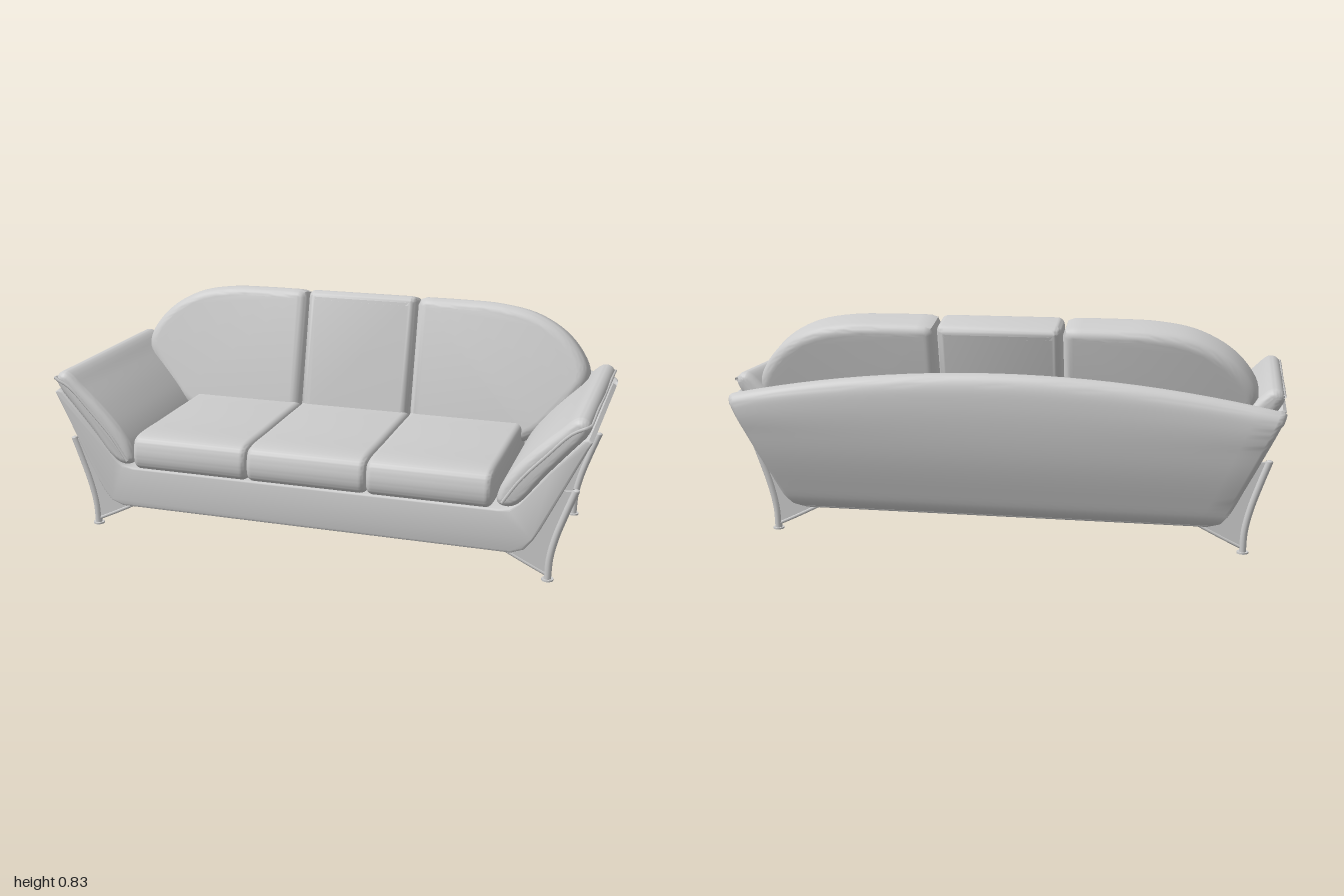
import * as THREE from 'three';
import { toCreasedNormals, mergeVertices } from 'three/addons/utils/BufferGeometryUtils.js';

const material = new THREE.MeshStandardMaterial({ color: 0xcccccc });
const doubleSided = new THREE.MeshStandardMaterial({ color: 0xcccccc, side: THREE.DoubleSide });

function addMesh(parent, name, geometry, mat = material) {
  const mesh = new THREE.Mesh(geometry, mat);
  mesh.name = name;
  parent.add(mesh);
  return mesh;
}

// Smooth curve through 2D points
function curve(points, closed = false, z = 0) {
  return new THREE.CatmullRomCurve3(points.map(([x, y]) => new THREE.Vector3(x, y, z)), closed, 'centripetal');
}

function smoothPoints(points, n, closed) {
  const p = curve(points, closed).getPoints(n);
  if (closed) p.pop();
  return p.map(v => new THREE.Vector2(v.x, v.y));
}

// Extrusion from z0 to z1 whose rounded edges stay inside the outline
function slab(points, z0, z1, bevel, segments = 6) {
  const g = new THREE.ExtrudeGeometry(new THREE.Shape(points), {
    depth: z1 - z0 - 2 * bevel, bevelEnabled: true, bevelThickness: bevel,
    bevelSize: bevel, bevelOffset: -bevel, bevelSegments: segments, curveSegments: 8,
  });
  g.translate(0, 0, z0 + bevel);
  return toCreasedNormals(g, 0.7);
}

// Half width of the shell at height y
const sideCurve = [[0.74, 0.1], [0.785, 0.117], [0.815, 0.155], [0.84, 0.2], [0.92, 0.365], [0.985, 0.5], [1, 0.54]];
function halfWidth(y) {
  for (let i = 1; i < sideCurve.length; i++) {
    const [x0, y0] = sideCurve[i - 1], [x1, y1] = sideCurve[i];
    if (y <= y1) return x0 + (x1 - x0) * Math.max(0, (y - y0) / (y1 - y0));
  }
  return 1;
}

// Bulging back panel lofted along x, with its top edge arched
function backPanel() {
  const profile = smoothPoints([
    [-0.29, 0.1], [-0.32, 0.101], [-0.345, 0.125], [-0.375, 0.2], [-0.412, 0.32], [-0.432, 0.43], [-0.439, 0.53],
    [-0.433, 0.6], [-0.415, 0.633], [-0.39, 0.64], [-0.365, 0.622], [-0.345, 0.56], [-0.3, 0.45], [-0.29, 0.3],
  ], 64, true);
  const n = profile.length, positions = [], indices = [];
  // Each section is a position along x and an inset that rounds the ends
  const sections = [];
  for (let i = -12; i <= 12; i++) sections.push([i / 12 * 0.975, 0]);
  for (let k = 1; k <= 5; k++) {
    const a = k / 5 * Math.PI / 2;
    const end = [0.975 + 0.025 * Math.sin(a), 0.025 * (1 - Math.cos(a))];
    sections.push(end);
    sections.unshift([-end[0], end[1]]);
  }
  for (const [u, inset] of sections) {
    for (const p of profile) {
      let y = p.y > 0.4 ? 0.4 + (p.y - 0.4) * (1 - 0.44 * u * u) : p.y;
      const x = u * halfWidth(y);
      const z = p.x + inset * (p.x < -0.36 ? 1 : 0) * Math.min(1, (-0.36 - p.x) / 0.03);
      y -= y > 0.5 ? inset * 0.4 : 0;
      positions.push(x, y, z);
    }
  }
  for (let s = 0; s < sections.length - 1; s++) {
    for (let j = 0; j < n; j++) {
      const a = s * n + j, b = s * n + (j + 1) % n, c = a + n, d = b + n;
      indices.push(a, c, b, b, c, d);
    }
  }
  // End caps
  const faces = THREE.ShapeUtils.triangulateShape(profile, []);
  const last = (sections.length - 1) * n;
  for (const [a, b, c] of faces) indices.push(a, b, c, last + a, last + c, last + b);
  const g = new THREE.BufferGeometry();
  g.setAttribute('position', new THREE.Float32BufferAttribute(positions, 3));
  g.setIndex(indices);
  return toCreasedNormals(mergeVertices(g), 0.8);
}

// U-shaped shell: floor, front rail and flared sides
function shell() {
  const right = sideCurve.slice(0, -1).concat([[0.998, 0.525], [0.985, 0.535], [0.965, 0.53], [0.86, 0.41], [0.76, 0.285], [0.73, 0.262], [0.69, 0.256]]);
  const left = right.map(([x, y]) => [-x, y]).reverse();
  return slab([...right, ...left].map(([x, y]) => new THREE.Vector2(x, y)), -0.33, 0.402, 0.008, 3);
}

function leg(side, z) {
  const group = new THREE.Group();
  group.name = 'leg';
  const spine = [[0.948, 0.338], [0.918, 0.255], [0.887, 0.16], [0.87, 0.08], [0.866, 0.004]].map(([x, y]) => [x * side, y]);
  const path = curve(spine, false, z);
  addMesh(group, 'legTube', new THREE.TubeGeometry(path, 20, 0.013, 10), doubleSided);
  const cap = addMesh(group, 'legTop', new THREE.SphereGeometry(0.013, 10, 6));
  cap.position.set(0.948 * side, 0.337, z);
  cap.scale.y = 0.5;
  // Thin web joining the tube to the shell
  const web = [...smoothPoints(spine, 14), ...[[0.866, 0.02], [0.70, 0.104], [0.785, 0.12], [0.84, 0.205], [0.905, 0.335]].map(([x, y]) => new THREE.Vector2(x * side, y))];
  addMesh(group, 'legWeb', slab(web, z - 0.004, z + 0.004, 0.001, 1));
  addMesh(group, 'legStrut', new THREE.TubeGeometry(
    curve([[0.868 * side, 0.018], [0.79 * side, 0.055], [0.70 * side, 0.1]], false, z), 8, 0.007, 8), doubleSided);
  addMesh(group, 'footPad', new THREE.CylinderGeometry(0.021, 0.021, 0.006, 20)).position.set(0.866 * side, 0.003, z);
  return group;
}

function armCushion(side) {
  const group = new THREE.Group();
  group.name = 'armCushion';
  const outline = [[0.685, 0.28], [0.692, 0.33], [0.73, 0.395], [0.80, 0.475], [0.88, 0.55], [0.945, 0.605], [0.975, 0.6],
    [0.99, 0.575], [0.975, 0.538], [0.92, 0.472], [0.85, 0.39], [0.765, 0.285], [0.72, 0.266]].map(([x, y]) => [x * side, y]);
  addMesh(group, 'armPad', slab(smoothPoints(outline, 60, true), -0.35, 0.413, 0.03));
  // Piping around the middle of the pad's thickness
  const seam = [[0.705, 0.285], [0.765, 0.375], [0.85, 0.47], [0.93, 0.553], [0.986, 0.582]];
  const points = seam.map(([x, y]) => new THREE.Vector3(x * side, y, 0.412));
  points.push(...[0.395, 0.2, 0, -0.2, -0.34].map((z, i) => new THREE.Vector3(0.988 * side, 0.58 + 0.003 * Math.sin(i * 2.4), z)));
  addMesh(group, 'armPiping', new THREE.TubeGeometry(new THREE.CatmullRomCurve3(points, false, 'centripetal'), 50, 0.006, 6), doubleSided);
  return group;
}

function seatCushion(x) {
  const outline = smoothPoints([[-0.25, 0.27], [-0.24, 0.257], [0.1, 0.256], [0.40, 0.26], [0.428, 0.275], [0.439, 0.31], [0.435, 0.35],
    [0.422, 0.38], [0.395, 0.392], [0.2, 0.395], [-0.1, 0.395], [-0.24, 0.39], [-0.25, 0.375]], 70, true);
  const g = slab(outline, -0.2235, 0.2235, 0.024);
  g.rotateY(-Math.PI / 2);
  g.translate(x, 0, 0);
  return g;
}

// Back cushions are drawn upright, then leaned backwards
function backCushion(outline) {
  const g = slab(outline, -0.152, 0, 0.04, 8);
  g.rotateX(-0.245);
  g.translate(0, 0.33, -0.13);
  return g;
}

function roundedRect(w, h, r) {
  return new THREE.Shape().moveTo(-w + r, 0).lineTo(w - r, 0).lineTo(w, r).lineTo(w, h - r)
    .quadraticCurveTo(w, h, w - r, h).lineTo(-w + r, h).quadraticCurveTo(-w, h, -w, h - r).lineTo(-w, r).getPoints(8);
}

export function createModel() {
  const sofa = new THREE.Group();
  sofa.name = 'sofa';
  addMesh(sofa, 'shell', shell());
  addMesh(sofa, 'backPanel', backPanel(), doubleSided);

  for (const x of [-0.448, 0, 0.448]) addMesh(sofa, 'seatCushion', seatCushion(x));
  addMesh(sofa, 'middleBackCushion', backCushion(roundedRect(0.222, 0.522, 0.03)));

  for (const side of [-1, 1]) {
    // Outer back cushion sweeps down to the arm
    const sweep = smoothPoints([[0.26, 0.522], [0.40, 0.522], [0.55, 0.517], [0.68, 0.492], [0.79, 0.435], [0.86, 0.365], [0.898, 0.292],
      [0.895, 0.235], [0.84, 0.15], [0.74, 0.04], [0.68, 0]], 44);
    const outline = [[0.226, 0], [0.226, 0.49], [0.235, 0.513]].map(([x, y]) => new THREE.Vector2(x, y)).concat(sweep);
    outline.forEach(p => { p.x *= side; });
    addMesh(sofa, 'outerBackCushion', backCushion(outline));
    sofa.add(armCushion(side));
    for (const z of [0.361, -0.288]) sofa.add(leg(side, z));
  }
  return sofa;
}
